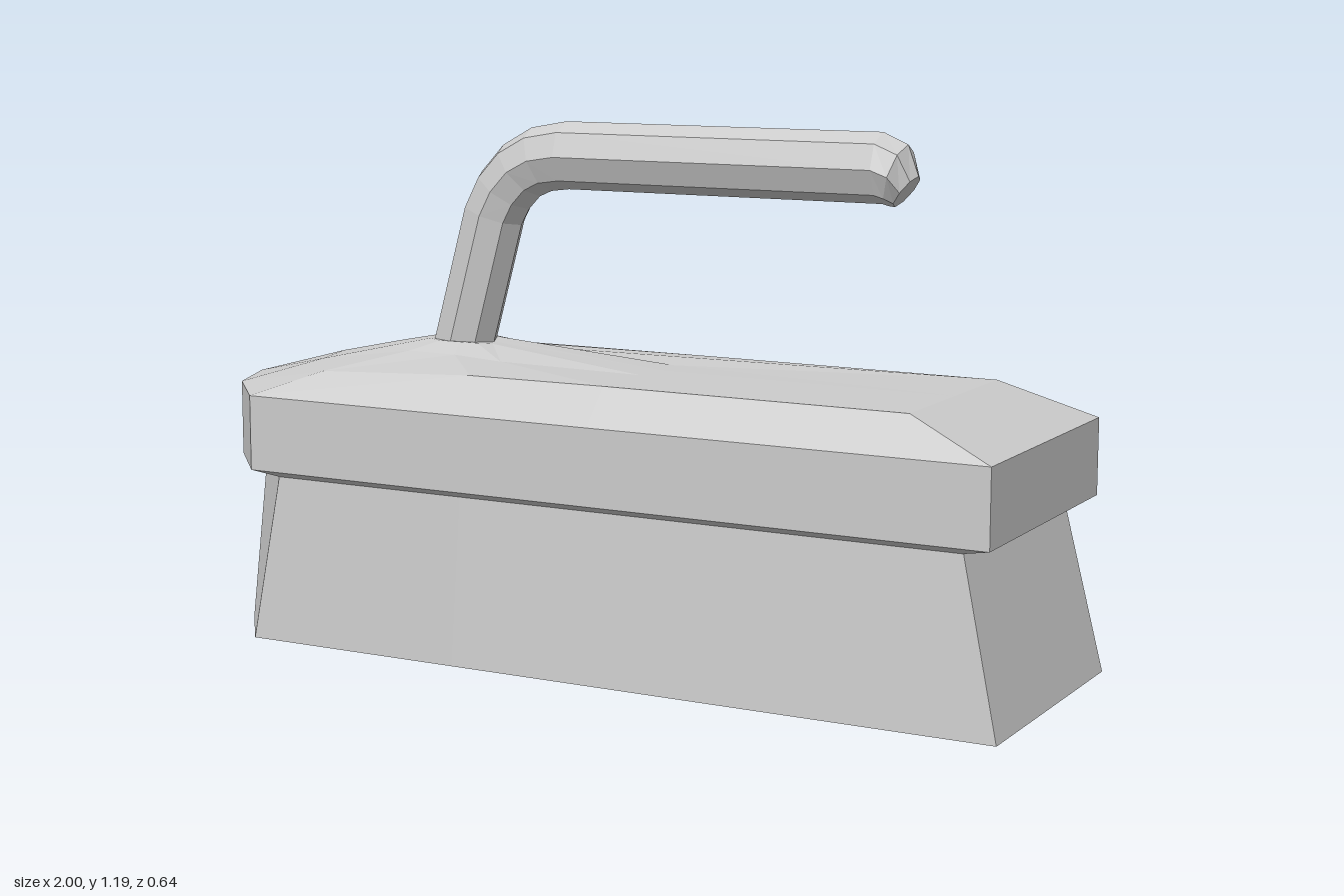
import * as THREE from 'three';

// Skin a stack of equal-length rings, capping both ends
function loft(name, rings) {
  const pos = [];
  const tri = (...pts) => pts.forEach((p) => pos.push(...p));
  const centre = (ring) => [0, 1, 2].map((k) => ring.reduce((s, p) => s + p[k], 0) / ring.length);
  const n = rings[0].length, last = rings[rings.length - 1];
  const c0 = centre(rings[0]), c1 = centre(last);
  for (let i = 0; i < n; i++) {
    const j = (i + 1) % n;
    for (let r = 0; r < rings.length - 1; r++) {
      const a = rings[r], b = rings[r + 1];
      tri(a[i], a[j], b[j]);
      tri(a[i], b[j], b[i]);
    }
    tri(c0, rings[0][j], rings[0][i]);
    tri(c1, last[i], last[j]);
  }
  const geo = new THREE.BufferGeometry();
  geo.setAttribute('position', new THREE.Float32BufferAttribute(pos, 3));
  geo.computeVertexNormals();
  const mesh = new THREE.Mesh(geo, new THREE.MeshStandardMaterial({ color: 0xcccccc, flatShading: true }));
  mesh.name = name;
  return mesh;
}

// Mirror a half ring (first and last points on z = 0) to a full ring
const mirror = (half) => [...half, ...half.slice(1, -1).reverse().map(([x, y, z]) => [x, y, -z])];

// Level ring from half-outline [x, z] points
const level = (y, half) => mirror(half.map(([x, z]) => [x, y, z]));

export function createModel() {
  const group = new THREE.Group();

  // Bristle block, flaring towards the floor
  const bristleTop = [[-0.935, 0], [-0.88, 0.15], [-0.74, 0.295], [-0.26, 0.295], [0.07, 0.295], [0.91, 0.295], [0.91, 0]];
  const bristleFoot = [[-0.98, 0], [-0.92, 0.16], [-0.8, 0.32], [-0.27, 0.32], [0.07, 0.32], [0.998, 0.32], [0.998, 0]];
  const bristleSole = [[-0.92, 0], [-0.87, 0.14], [-0.76, 0.285], [-0.26, 0.285], [0.07, 0.285], [0.955, 0.285], [0.955, 0]];
  group.add(loft('bristles', [level(0, bristleSole), level(0.01, bristleFoot), level(0.39, bristleTop)]));

  // Body with pointed nose, bevelled top and a swell around the handle
  const outline = [[-1, 0], [-0.94, 0.16], [-0.8, 0.32], [-0.26, 0.32], [0.07, 0.32], [0.975, 0.32], [0.975, 0]];
  group.add(loft('body', [
    level(0.385, bristleTop),
    level(0.4, outline),
    level(0.57, outline),
    mirror([[-0.76, 0.635, 0], [-0.73, 0.635, 0.13], [-0.64, 0.63, 0.26], [-0.26, 0.647, 0.25],
      [0.07, 0.648, 0.245], [0.77, 0.647, 0.243], [0.77, 0.647, 0]]),
    mirror([[-0.6, 0.67, 0], [-0.58, 0.668, 0.07], [-0.5, 0.668, 0.12], [-0.38, 0.667, 0.12],
      [-0.26, 0.66, 0.12], [0.07, 0.649, 0.08], [0.07, 0.65, 0]]),
    mirror([[-0.51, 0.688, 0], [-0.49, 0.688, 0.05], [-0.45, 0.688, 0.07], [-0.4, 0.688, 0.07],
      [-0.36, 0.686, 0.055], [-0.335, 0.683, 0.03], [-0.33, 0.682, 0]]),
  ]));

  // Octagonal handle: [x, y, direction in degrees, radius]
  const path = [
    [-0.432, 0.66, 75, 0.073], [-0.345, 0.975, 72, 0.073], [-0.316, 1.03, 56, 0.073],
    [-0.274, 1.075, 40, 0.073], [-0.222, 1.102, 20, 0.074], [-0.155, 1.113, 2, 0.075],
    [0.6, 1.114, 0, 0.075], [0.635, 1.1, -18, 0.068], [0.654, 1.067, -38, 0.042],
  ];
  group.add(loft('handle', path.map(([x, y, deg, r]) => {
    const t = THREE.MathUtils.degToRad(deg);
    return Array.from({ length: 8 }, (_, i) => {
      const a = (i / 8) * Math.PI * 2, h = Math.cos(a) * r;
      return [x - Math.sin(t) * h, y + Math.cos(t) * h, Math.sin(a) * r * 0.93];
    });
  })));

  return group;
}
